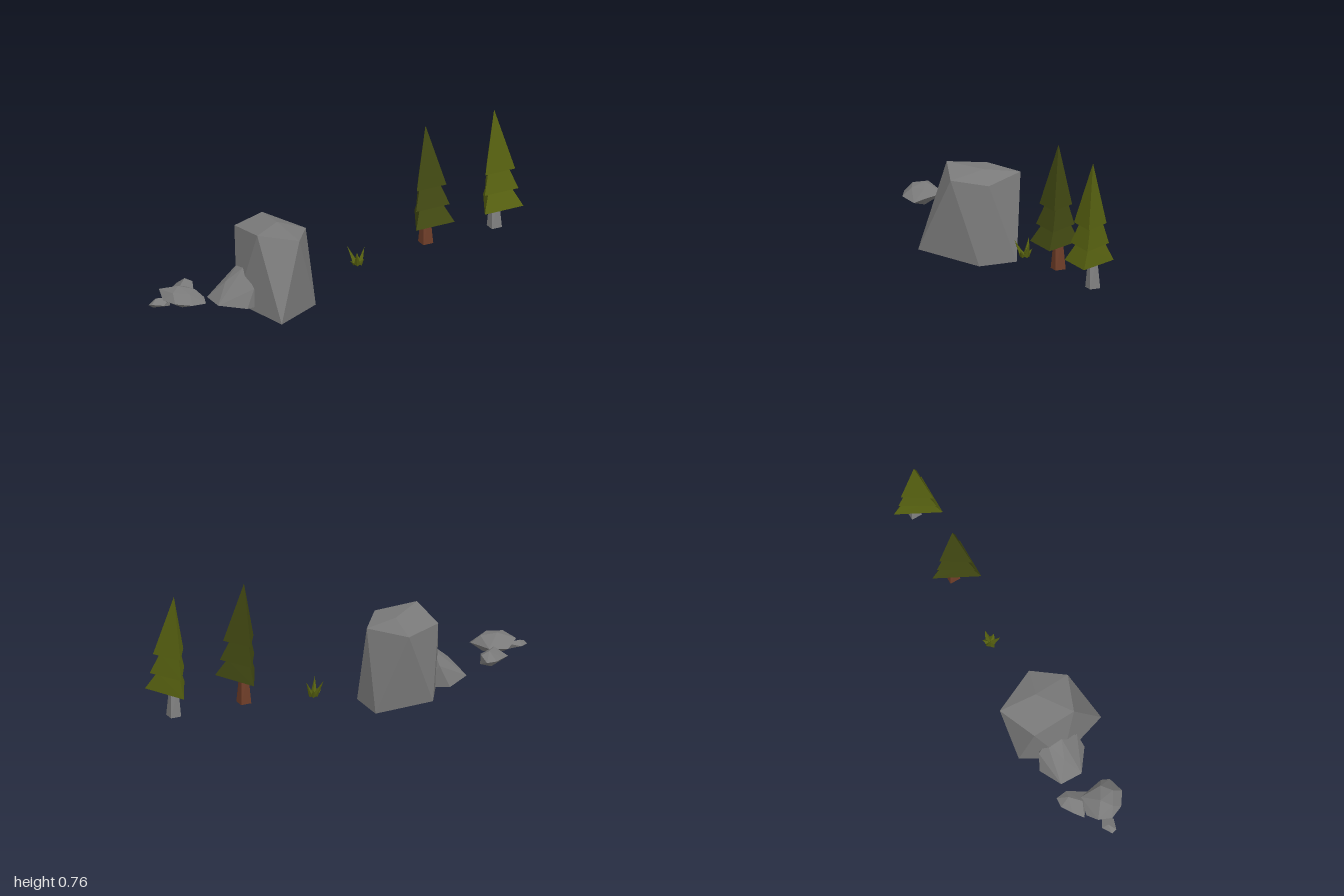
import * as THREE from 'three';
import { ConvexGeometry } from 'three/addons/geometries/ConvexGeometry.js';

const paint = (name, color) => {
  const m = new THREE.MeshStandardMaterial({ color, flatShading: true });
  m.name = name;
  return m;
};

// Faceted solid spanned by a few corner points
function solid(name, points, material) {
  const geometry = new ConvexGeometry(points.map((p) => new THREE.Vector3(...p)));
  const mesh = new THREE.Mesh(geometry, material);
  mesh.name = name;
  return mesh;
}

// Three-cornered ring of branches: two corners in front, one behind
const triangle = (y, half, front, back) => [[-half, y, front], [half, y, front], [0, y, back]];

// Four-cornered trunk ring, turned by an angle
const square = (y, r, turn) => [0, 1, 2, 3].map((i) => {
  const a = Math.PI / 4 + turn + i * Math.PI / 2;
  return [r * Math.cos(a), y, r * Math.sin(a) + 0.002];
});

function pine(name, x, leaf, bark) {
  const tree = new THREE.Group();
  tree.name = name;
  tree.position.set(x, 0, -0.05);
  tree.add(
    solid('trunk', [...square(0.142, 0.038, 0), ...square(0.3, 0.024, 0.2)], bark),
    solid('lowerBranches', [...triangle(0.266, 0.105, 0.1, -0.11), ...triangle(0.355, 0.062, 0.057, -0.063)], leaf),
    solid('middleBranches', [...triangle(0.352, 0.092, 0.075, -0.085), ...triangle(0.456, 0.055, 0.043, -0.052)], leaf),
    solid('topBranches', [...triangle(0.453, 0.081, 0.062, -0.072), [0, 0.758, 0]], leaf),
  );
  return tree;
}

// Pointed blade from a small three-cornered foot to its tip
function blade(tip, material) {
  const cx = 0.15, cz = -0.05;
  const dx = tip[0] - cx, dz = tip[2] - cz, len = Math.hypot(dx, dz);
  const ux = dx / len, uz = dz / len, w = 0.015;
  return solid('blade', [
    [cx - ux * 0.008, 0.108, cz - uz * 0.008],
    [cx + ux * 0.018 - uz * w, 0.115, cz + uz * 0.018 + ux * w],
    [cx + ux * 0.018 + uz * w, 0.115, cz + uz * 0.018 - ux * w],
    [cx + ux * 0.022, 0.106, cz + uz * 0.022],
    tip,
  ], material);
}

export function createModel() {
  const model = new THREE.Group();
  model.name = 'rocksAndTrees';
  const stone = paint('stone', 0x7a7a7a);
  const darkLeaf = paint('darkLeaf', 0x414812);
  const lightLeaf = paint('lightLeaf', 0x566010);
  const brownBark = paint('brownBark', 0x6e3d28);
  const greyBark = paint('greyBark', 0x7f7f7f);

  // Rocks
  model.add(solid('boulder', [
    [-0.134, 0, -0.148], [-0.134, 0.001, 0.052], [-0.42, 0.037, 0.237], [-0.41, 0.037, -0.21],
    [-0.52, 0.065, -0.03], [-0.155, 0.386, -0.01], [-0.27, 0.403, -0.235], [-0.27, 0.403, 0.138],
    [-0.46, 0.444, 0.065], [-0.465, 0.41, -0.155], [-0.29, 0.432, -0.05],
  ], stone));
  model.add(solid('leaningRock', [
    [-0.64, 0.09, -0.107], [-0.64, 0.09, 0.005], [-0.525, 0.07, -0.16], [-0.525, 0.08, 0.086],
    [-0.57, 0.18, -0.05], [-0.487, 0.25, -0.02], [-0.47, 0.25, -0.09], [-0.42, 0.07, -0.1],
    [-0.42, 0.07, 0.06], [-0.48, 0.17, 0.07], [-0.48, 0.18, -0.14],
  ], stone));
  model.add(solid('smallRock', [
    [-0.94, 0.185, 0.005], [-0.925, 0.215, -0.065], [-0.866, 0.18, -0.096], [-0.775, 0.19, -0.075],
    [-0.743, 0.18, 0.053], [-0.755, 0.165, 0.095], [-0.84, 0.18, 0.115], [-0.91, 0.185, 0.07],
    [-0.9, 0.225, 0.03], [-0.85, 0.237, -0.01], [-0.78, 0.22, 0.03], [-0.83, 0.22, 0.07],
    [-0.87, 0.145, -0.03], [-0.79, 0.14, 0.02], [-0.86, 0.15, 0.05],
  ], stone));
  model.add(solid('backRock', [
    [-0.862, 0.15, -0.105], [-0.815, 0.16, -0.145], [-0.765, 0.165, -0.178], [-0.715, 0.165, -0.175],
    [-0.712, 0.185, -0.12], [-0.715, 0.132, -0.1], [-0.755, 0.15, -0.025], [-0.8, 0.2, -0.08],
    [-0.75, 0.205, -0.13], [-0.8, 0.137, -0.06], [-0.75, 0.133, -0.15],
  ], stone));
  model.add(solid('tinyRock', [
    [-1, 0.16, -0.03], [-0.995, 0.17, -0.005], [-0.955, 0.165, -0.06], [-0.96, 0.187, -0.03],
    [-0.94, 0.16, 0.012], [-0.885, 0.18, -0.02], [-0.895, 0.142, -0.01], [-0.98, 0.147, -0.02],
  ], stone));

  // Grass tuft: three tall blades, then low ones
  const grass = new THREE.Group();
  grass.name = 'grassTuft';
  [[0.115, 0.195, -0.092], [0.19, 0.187, -0.057], [0.122, 0.19, -0.01],
    [0.108, 0.135, -0.052], [0.165, 0.15, -0.085], [0.168, 0.145, -0.02],
  ].forEach((tip) => grass.add(blade(tip, lightLeaf)));
  model.add(grass);

  // Trees
  model.add(pine('innerTree', 0.519, darkLeaf, brownBark));
  model.add(pine('outerTree', 0.893, lightLeaf, greyBark));
  return model;
}
